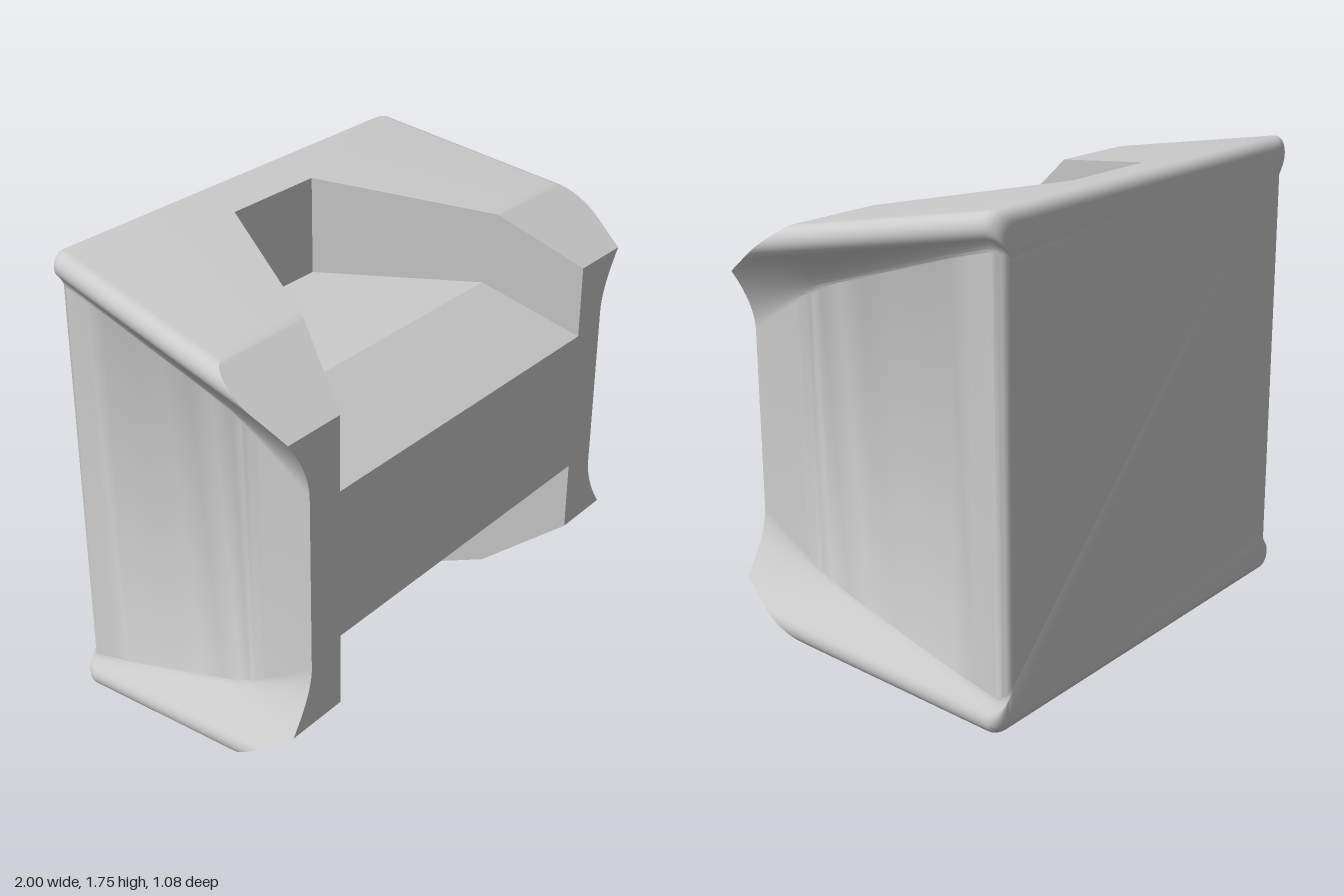
import * as THREE from 'three';
import { toCreasedNormals } from 'three/addons/utils/BufferGeometryUtils.js';

const MID = 0.875;                       // mirror height
const BACK = -0.5375, FRONT = 0.5375;
const ROUND = 0.05;                      // rounding of lips and back edges
const WALL = 0.86;                       // half width between the side walls
const NOTCH_BACK = -0.33;

const topPlane = z => 1.75 - (z + 0.49) * 0.172;      // gently sloping top
const chamfer = z => 1.43 + (FRONT - z) * 0.69;       // steep front bevel
const lipX = z => 0.9 + (z + 0.49) * 0.115;           // outer edge of the lip
const notchHalf = z => 0.21 + Math.max(0, z - NOTCH_BACK) * 0.576;
const notchFloor = z => (z <= 0.22 ? 1.35 : 1.35 - (z - 0.22) * 0.614);

// Upper right quarter of a section: wall, concave fillet, rounded lip, top, notch
function quarter(z, inset, notched) {
  const wall = WALL - inset, top = topPlane(z) - inset, r = ROUND;
  const cx = lipX(z) - inset - r, cy = top - r, a0 = -0.7;
  const endX = cx + r * Math.cos(a0), endY = cy + r * Math.sin(a0);
  const u = Math.max(0, (z + 0.5) / 1.0375);
  const bendY = endY - (endX - wall) * 1.19;
  const startY = Math.min(bendY - 0.01, 1.62 - 0.082 * u - 0.338 * u * u);
  const fillet = new THREE.QuadraticBezierCurve(
    new THREE.Vector2(wall, startY), new THREE.Vector2(wall, bendY), new THREE.Vector2(endX, endY));
  const pts = fillet.getPoints(16);
  for (let i = 1; i <= 10; i++) {
    const a = a0 + (Math.PI / 2 - a0) * i / 10;
    pts.push(new THREE.Vector2(cx + r * Math.cos(a), cy + r * Math.sin(a)));
  }
  // Everything above the bevel collapses onto the point where the profile meets it
  const limit = chamfer(z);
  const k = pts.findIndex(p => p.y > limit);
  if (k > 0) {
    const a = pts[k - 1], b = pts[k];
    const hit = a.clone().lerp(b, (limit - a.y) / (b.y - a.y));
    for (let i = k; i < pts.length; i++) pts[i] = hit.clone();
  }
  const t = Math.min(top, limit), w = notchHalf(z);
  pts.push(new THREE.Vector2(w, t), new THREE.Vector2(w, notched ? notchFloor(z) : t));
  return pts;
}

// Mirror the quarter into a full counter-clockwise section
function section(z, inset, notched) {
  const q = quarter(z, inset, notched);
  const flip = (sx, sy) => q.map(p => new THREE.Vector2(sx * p.x, MID + sy * (p.y - MID)));
  const points = [
    ...flip(1, 1), ...flip(-1, 1).reverse(), ...flip(-1, -1), ...flip(1, -1).reverse(),
  ];
  return { z, points };
}

function bodyGeometry() {
  const rings = [];
  // Rounded back edge
  for (let i = 0; i <= 8; i++) {
    const a = (i / 8) * Math.PI / 2;
    rings.push(section(BACK + ROUND * (1 - Math.cos(a)), ROUND * (1 - Math.sin(a)), false));
  }
  // Solid rear, then the notches open at a vertical back wall
  rings.push(section(-0.41, 0, false), section(NOTCH_BACK, 0, false));
  for (const z of [NOTCH_BACK, -0.2, -0.08, 0.04, 0.14, 0.22, 0.26, 0.265, 0.275, 0.29, 0.305,
    0.32, 0.335, 0.35, 0.365, 0.38, 0.4, 0.43, 0.465, 0.5, FRONT]) rings.push(section(z, 0, true));

  const pos = [];
  const A = new THREE.Vector3(), B = new THREE.Vector3();
  const tri = (a, b, c) => {
    A.subVectors(b, a); B.subVectors(c, a);
    if (A.cross(B).length() > 1e-9) for (const p of [a, b, c]) pos.push(p.x, p.y, p.z);
  };
  const at = (ring, i) => {
    const p = ring.points[i % ring.points.length];
    return new THREE.Vector3(p.x, p.y, ring.z);
  };
  // Skin between the sections
  for (let j = 0; j < rings.length - 1; j++) {
    for (let i = 0; i < rings[j].points.length; i++) {
      const a = at(rings[j], i), b = at(rings[j], i + 1);
      const c = at(rings[j + 1], i + 1), d = at(rings[j + 1], i);
      tri(a, b, c);
      tri(a, c, d);
    }
  }
  // Flat back and front faces
  const cap = (ring, front) => {
    const contour = ring.points.filter((p, i, all) =>
      p.distanceTo(all[(i + 1) % all.length]) > 1e-6);
    for (const [a, b, c] of THREE.ShapeUtils.triangulateShape(contour, [])) {
      const [p, q, s] = [a, b, c].map(i => new THREE.Vector3(contour[i].x, contour[i].y, ring.z));
      const ccw = (q.x - p.x) * (s.y - p.y) - (q.y - p.y) * (s.x - p.x) > 0;
      if (ccw === front) tri(p, q, s); else tri(p, s, q);
    }
  };
  cap(rings[0], false);
  cap(rings[rings.length - 1], true);

  const geometry = new THREE.BufferGeometry();
  geometry.setAttribute('position', new THREE.Float32BufferAttribute(pos, 3));
  return toCreasedNormals(geometry, 0.45);
}

export function createModel() {
  const group = new THREE.Group();
  group.name = 'notchedBlock';
  const body = new THREE.Mesh(bodyGeometry(), new THREE.MeshStandardMaterial({ color: 0xcccccc }));
  body.name = 'body';
  group.add(body);
  return group;
}
